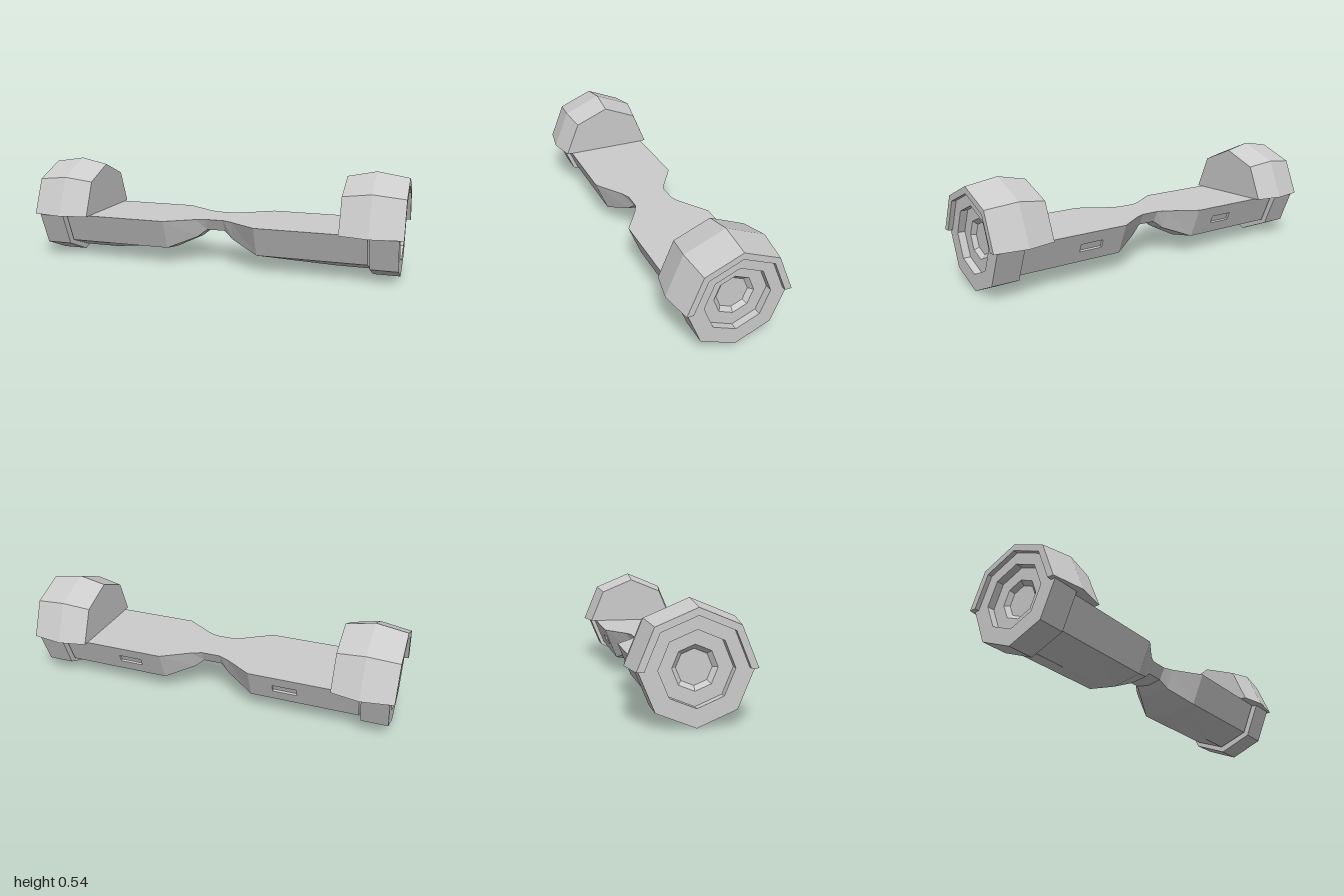
import * as THREE from 'three';

const AXLE_Y = 0.253;
const grey = () => new THREE.MeshStandardMaterial({ color: 0xcccccc, flatShading: true, side: THREE.DoubleSide });

function mesh(name, geometry) {
  const m = new THREE.Mesh(geometry, grey());
  m.name = name;
  return m;
}

// Collects four-cornered faces into one geometry
function quadBuilder() {
  const pos = [];
  return {
    quad(a, b, c, d) { pos.push(...a, ...b, ...c, ...a, ...c, ...d); },
    build() {
      const g = new THREE.BufferGeometry();
      g.setAttribute('position', new THREE.Float32BufferAttribute(pos, 3));
      g.computeVertexNormals();
      return g;
    },
  };
}

// Turns a profile of [radius, x] points around the x axis
function turned(profile, sides, start, sweep) {
  const pts = profile.map(([r, x]) => new THREE.Vector2(r, x));
  return new THREE.LatheGeometry(pts, sides, start, sweep).rotateZ(-Math.PI / 2);
}

// Half-octagon deck, pinched at the waist
function createDeck() {
  // x, half width, height of lower side edge, height of keel
  const half = [
    [0.05, 0.108, 0.19, 0.176], [0.1, 0.13, 0.15, 0.137], [0.25, 0.228, 0.092, 0.064],
    [0.64, 0.228, 0.092, 0.03], [0.825, 0.228, 0.092, 0.03],
  ];
  const stations = [...half.map(([x, ...s]) => [-x, ...s]).reverse(), ...half];
  const rings = stations.map(([x, w, low, keel]) => [
    [x, AXLE_Y, w], [x, low, w * 0.707], [x, keel, 0], [x, low, -w * 0.707], [x, AXLE_Y, -w],
  ]);
  const b = quadBuilder();
  for (let i = 0; i < rings.length - 1; i++) {
    const A = rings[i], B = rings[i + 1];
    const straight = A[0][2] === B[0][2] && i !== 4;
    for (let j = 0; j < 5; j++) {
      if (j === 3 && straight) continue; // left open for the recessed panels
      const k = (j + 1) % 5;
      b.quad(A[j], A[k], B[k], B[j]);
    }
  }
  const R = rings[rings.length - 1], L = rings[0];
  b.quad(R[0], R[1], R[2], R[3]);
  b.quad(R[0], R[3], R[4], R[4]);
  b.quad(L[3], L[2], L[1], L[0]);
  b.quad(L[4], L[3], L[0], L[0]);
  return mesh('deck', b.build());
}

// Sloping back panel with a small sunken lamp window
function createBackPanel(side) {
  const low = [0.092, -0.1612], high = [AXLE_Y, -0.228];
  const P = (u, v, depth = 0) => [
    u,
    low[0] + (high[0] - low[0]) * v + depth * 0.38,
    low[1] + (high[1] - low[1]) * v + depth * 0.92,
  ];
  const [x0, x1] = side > 0 ? [0.25, 0.825] : [-0.825, -0.25];
  const c = side * 0.44, u0 = c - 0.065, u1 = c + 0.065, v0 = 0.37, v1 = 0.63, d = 0.012;
  const outer = [P(x0, 0), P(x0, 1), P(x1, 1), P(x1, 0)];
  const rim = [P(u0, v0), P(u0, v1), P(u1, v1), P(u1, v0)];
  const floor = [P(u0, v0, d), P(u0, v1, d), P(u1, v1, d), P(u1, v0, d)];
  const b = quadBuilder();
  for (let i = 0; i < 4; i++) {
    const k = (i + 1) % 4;
    b.quad(outer[i], outer[k], rim[k], rim[i]);
    b.quad(rim[i], rim[k], floor[k], floor[i]);
  }
  b.quad(...floor);
  return mesh('backPanel', b.build());
}

// Eight-sided wheel with a stepped hub
function createWheel() {
  const profile = [
    [0, 0.837], [0.252, 0.837], [0.252, 0.977], [0.167, 0.977],
    [0.167, 0.94], [0.101, 0.94], [0.08, 0.92], [0, 0.92],
  ];
  return mesh('wheel', turned(profile, 8, 0, Math.PI * 2));
}

// Half-octagon mudguard, closed on the inner end
function createFender() {
  const fender = new THREE.Group();
  fender.name = 'fender';
  const profile = [[0, 0.687], [0.257, 0.687], [0.288, 0.835], [0.262, 1], [0.228, 1], [0.228, 0.7]];
  fender.add(mesh('fenderShell', turned(profile, 4, Math.PI, Math.PI)));
  // flat lower edges, front and back
  const edge = new THREE.Shape([...profile.slice(1), [0.228, 0.687]].map(([r, x]) => new THREE.Vector2(x, r)));
  for (const s of [1, -1]) {
    fender.add(mesh('fenderEdge', new THREE.ShapeGeometry(edge).rotateX(s * Math.PI / 2)));
  }
  return fender;
}

export function createModel() {
  const model = new THREE.Group();
  model.name = 'balanceBoard';
  model.add(createDeck());
  for (const side of [1, -1]) {
    model.add(createBackPanel(side));
    const end = new THREE.Group();
    end.name = side > 0 ? 'leftEnd' : 'rightEnd';
    end.add(createWheel(), createFender());
    end.position.y = AXLE_Y;
    end.rotation.y = side > 0 ? 0 : Math.PI;
    model.add(end);
  }
  return model;
}
